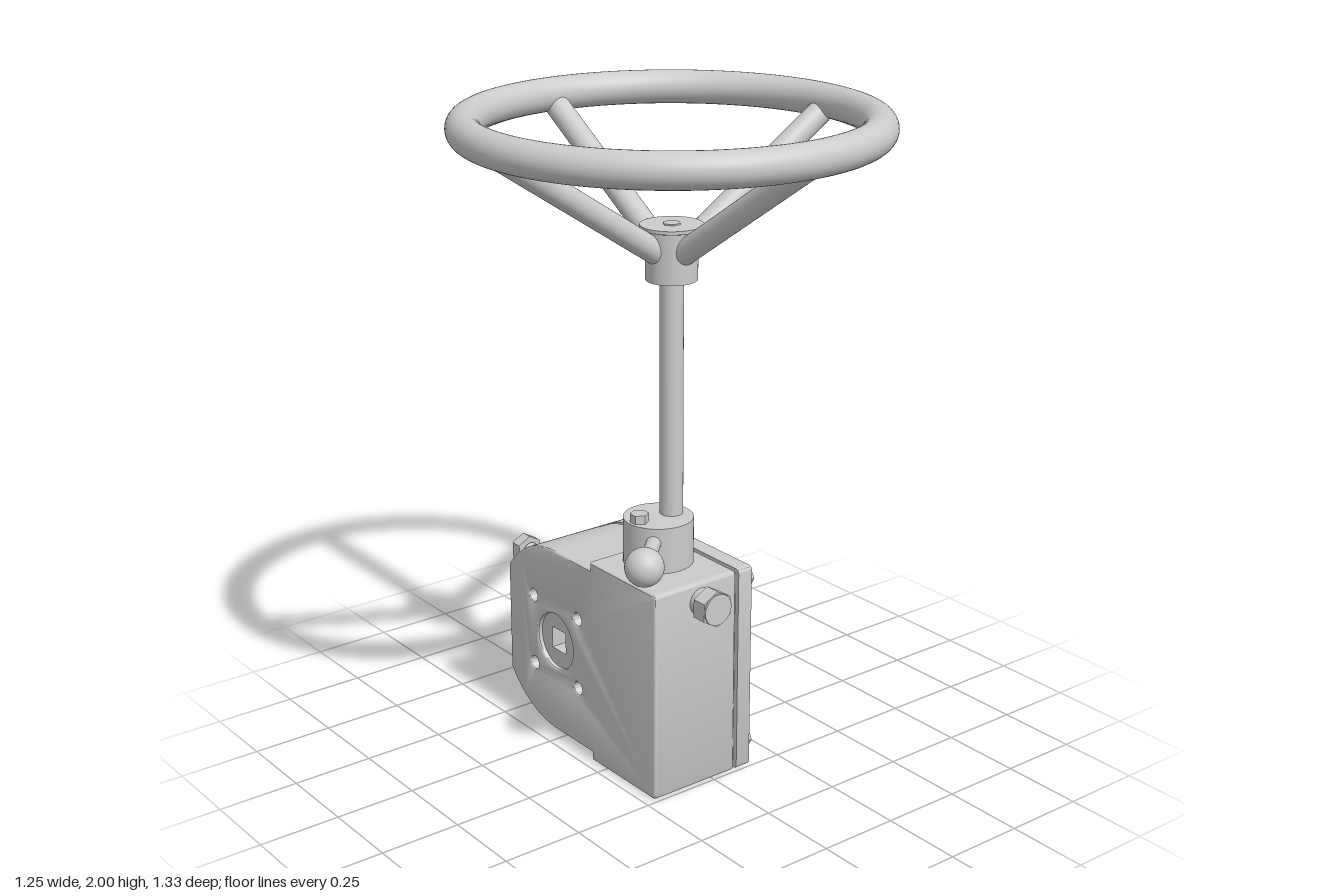
import * as THREE from 'three';
import { toCreasedNormals } from 'three/addons/utils/BufferGeometryUtils.js';

const smooth = new THREE.MeshStandardMaterial({ color: 0xcccccc });
const flat = new THREE.MeshStandardMaterial({ color: 0xcccccc, flatShading: true });
const V = (x, y, z) => new THREE.Vector3(x, y, z);
const OUT_U = 0.255, OUT_Y = 0.333; // output axis (u = -z)

export function createModel() {
  const model = new THREE.Group();

  const add = (name, geo, mat = smooth, parent = model) => {
    const mesh = new THREE.Mesh(geo, mat);
    mesh.name = name;
    parent.add(mesh);
    return mesh;
  };

  // Aim a y-axis mesh from a to b
  const aim = (mesh, a, b) => {
    mesh.position.copy(a).lerp(b, 0.5);
    mesh.quaternion.setFromUnitVectors(V(0, 1, 0), b.clone().sub(a).normalize());
    return mesh;
  };
  const rod = (name, a, b, r, sides = 32) =>
    aim(add(name, new THREE.CylinderGeometry(r, r, a.distanceTo(b), sides), sides <= 8 ? flat : smooth), a, b);

  // Extrude a (-z, y) outline along x from x0 to x1
  const slab = (name, shape, x0, x1, bevel = 0) => {
    const geo = new THREE.ExtrudeGeometry(shape, {
      depth: x1 - x0 - 2 * bevel, curveSegments: 24,
      bevelEnabled: bevel > 0, bevelSize: bevel, bevelThickness: bevel, bevelOffset: -bevel, bevelSegments: 3,
    });
    geo.translate(0, 0, x0 + bevel).rotateY(Math.PI / 2);
    return add(name, toCreasedNormals(geo, 0.5));
  };
  const circle = (u, y, r) => new THREE.Path().absarc(u, y, r, 0, Math.PI * 2, false);
  const fourHoles = (shape, off, r) => {
    for (const su of [-1, 1]) for (const sy of [-1, 1])
      shape.holes.push(circle(OUT_U + su * off, OUT_Y + sy * off, r));
  };

  // Gearbox outline: upright box joined to a clipped round end, inset by d
  const outline = (d) => {
    const s = new THREE.Shape(), r = 0.302 - d, c = 0.015;
    const l = -0.245 + d, b = 0.005 + d, t = 0.66 - d, step = 0.07 - d;
    const a = Math.acos((0.245 - d) / r);
    s.moveTo(l + c, b);
    s.lineTo(step, b);
    s.lineTo(step, OUT_Y - r);
    s.absarc(OUT_U, OUT_Y, r, -Math.PI / 2, -a, false);
    s.absarc(OUT_U, OUT_Y, r, a, Math.PI / 2, false);
    s.lineTo(step, OUT_Y + r);
    s.lineTo(step, t);
    s.lineTo(l + c, t);
    s.quadraticCurveTo(l, t, l, t - c);
    s.lineTo(l, b + c);
    s.quadraticCurveTo(l, b, l + c, b);
    return s;
  };

  // Housing, recessed joint and cover
  const housing = outline(0);
  housing.holes.push(circle(OUT_U, OUT_Y, 0.09));
  fourHoles(housing, 0.115, 0.02);
  slab('housing', housing, -0.22, 0.08, 0.008);
  for (const [name, d, x0, x1] of [['housingJoint', 0.016, 0.07, 0.095], ['housingCover', 0, 0.09, 0.14]]) {
    const s = outline(d);
    s.holes.push(circle(OUT_U, OUT_Y, 0.082));
    slab(name, s, x0, x1);
  }

  // Output sleeve with a square drive hole
  const sleeve = new THREE.Shape().absarc(OUT_U, OUT_Y, 0.098, 0, Math.PI * 2, false);
  const q = 0.035;
  sleeve.holes.push(new THREE.Path([[-q, -q], [-q, q], [q, q], [q, -q]]
    .map(([u, y]) => new THREE.Vector2(OUT_U + u, OUT_Y + y))));
  slab('driveSleeve', sleeve, -0.205, 0.03);

  // Mounting flange: neck, square plate and four gussets
  const neck = new THREE.Shape().absarc(OUT_U, OUT_Y, 0.108, 0, Math.PI * 2, false);
  neck.holes.push(circle(OUT_U, OUT_Y, 0.082));
  slab('flangeNeck', neck, 0.135, 0.27);
  const h = 0.21, k = 0.15;
  const plate = new THREE.Shape();
  plate.absarc(OUT_U + k, OUT_Y + k, h - k, 0, Math.PI / 2, false);
  plate.absarc(OUT_U - k, OUT_Y + k, h - k, Math.PI / 2, Math.PI, false);
  plate.absarc(OUT_U - k, OUT_Y - k, h - k, Math.PI, Math.PI * 1.5, false);
  plate.absarc(OUT_U + k, OUT_Y - k, h - k, Math.PI * 1.5, Math.PI * 2, false);
  plate.holes.push(circle(OUT_U, OUT_Y, 0.082));
  fourHoles(plate, 0.153, 0.03);
  fourHoles(plate, 0.11, 0.023);
  slab('flangePlate', plate, 0.265, 0.315);
  const gusset = new THREE.Shape([[0.165, 0.1], [0.268, 0.1], [0.268, 0.207], [0.165, 0.107]]
    .map(([x, r]) => new THREE.Vector2(x, r)));
  for (let i = 0; i < 4; i++) {
    const geo = new THREE.ExtrudeGeometry(gusset, { depth: 0.05, bevelEnabled: false });
    geo.translate(0, 0, -0.025).rotateX(i * Math.PI / 2);
    add('flangeGusset', geo, flat).position.set(0, OUT_Y, -OUT_U);
  }

  // Cover bolts
  for (const [y, z] of [[0.6, 0.18], [0.6, -0.095], [0.065, 0.18], [0.485, -0.43], [0.18, -0.43]]) {
    rod('coverBoltWasher', V(0.138, y, z), V(0.15, y, z), 0.036);
    rod('coverBoltHead', V(0.148, y, z), V(0.176, y, z), 0.035, 6);
  }

  // Threaded stop bolts on the back
  const thread = [];
  for (let i = 0; i <= 16; i++) thread.push(new THREE.Vector2(i % 2 ? 0.021 : 0.027, -0.075 + i * 0.009375));
  const threadGeo = toCreasedNormals(new THREE.LatheGeometry(thread, 24), 0.5);
  for (const y of [0.467, 0.198]) {
    const at = (z) => V(-0.05, y, z);
    rod('stopBoltNut', at(-0.505), at(-0.545), 0.05, 6);
    rod('stopBoltWasher', at(-0.495), at(-0.507), 0.043);
    aim(add('stopBoltThread', threadGeo), at(-0.495), at(-0.645));
    rod('stopBoltHead', at(-0.633), at(-0.67), 0.047, 6);
  }

  // Front plug and small drain plug underneath
  rod('plugNeck', V(-0.05, 0.6, 0.24), V(-0.05, 0.6, 0.275), 0.042);
  rod('plugHead', V(-0.05, 0.6, 0.27), V(-0.05, 0.6, 0.318), 0.056, 6);
  rod('plugFace', V(-0.05, 0.6, 0.31), V(-0.05, 0.6, 0.323), 0.048);
  rod('drainPlug', V(-0.05, 0.002, 0.08), V(-0.05, 0.02, 0.08), 0.02);

  // Eccentric collar with its bolt and locking lever
  const ball = V(-0.247, 0.755, 0.232);
  rod('collar', V(-0.048, 0.65, 0.04), V(-0.048, 0.8, 0.04), 0.104, 64);
  rod('collarBolt', V(-0.118, 0.79, 0.04), V(-0.118, 0.826, 0.04), 0.028, 6);
  rod('leverRod', V(-0.06, 0.755, 0.052), ball, 0.022);
  add('leverKnob', new THREE.SphereGeometry(0.057, 40, 24)).position.copy(ball);

  // Stem and handwheel
  rod('stem', V(0, 0.78, 0.04), V(0, 1.53, 0.04), 0.035, 40);
  const wheel = new THREE.Group();
  wheel.name = 'handwheel';
  wheel.position.z = 0.04;
  model.add(wheel);
  add('rim', new THREE.TorusGeometry(0.574, 0.05, 32, 128).rotateX(Math.PI / 2), smooth, wheel).position.y = 1.95;
  const hub = [[0, 1.51], [0.075, 1.51], [0.075, 1.655], [0.091, 1.66], [0.091, 1.67], [0, 1.67]];
  add('hub', toCreasedNormals(new THREE.LatheGeometry(hub.map(([r, y]) => new THREE.Vector2(r, y)), 64), 0.5), smooth, wheel);
  add('hubScrew', new THREE.CylinderGeometry(0.027, 0.027, 0.01, 6).rotateY(Math.PI / 6), flat, wheel).position.y = 1.669;
  for (let i = 0; i < 4; i++) {
    const arm = new THREE.Group();
    arm.rotation.y = i * Math.PI / 2;
    wheel.add(arm);
    const a = V(0.03, 1.58, 0), b = V(0.574, 1.937, 0);
    aim(add('spoke', new THREE.CylinderGeometry(0.036, 0.036, a.distanceTo(b), 32), smooth, arm), a, b);
  }

  return model;
}
